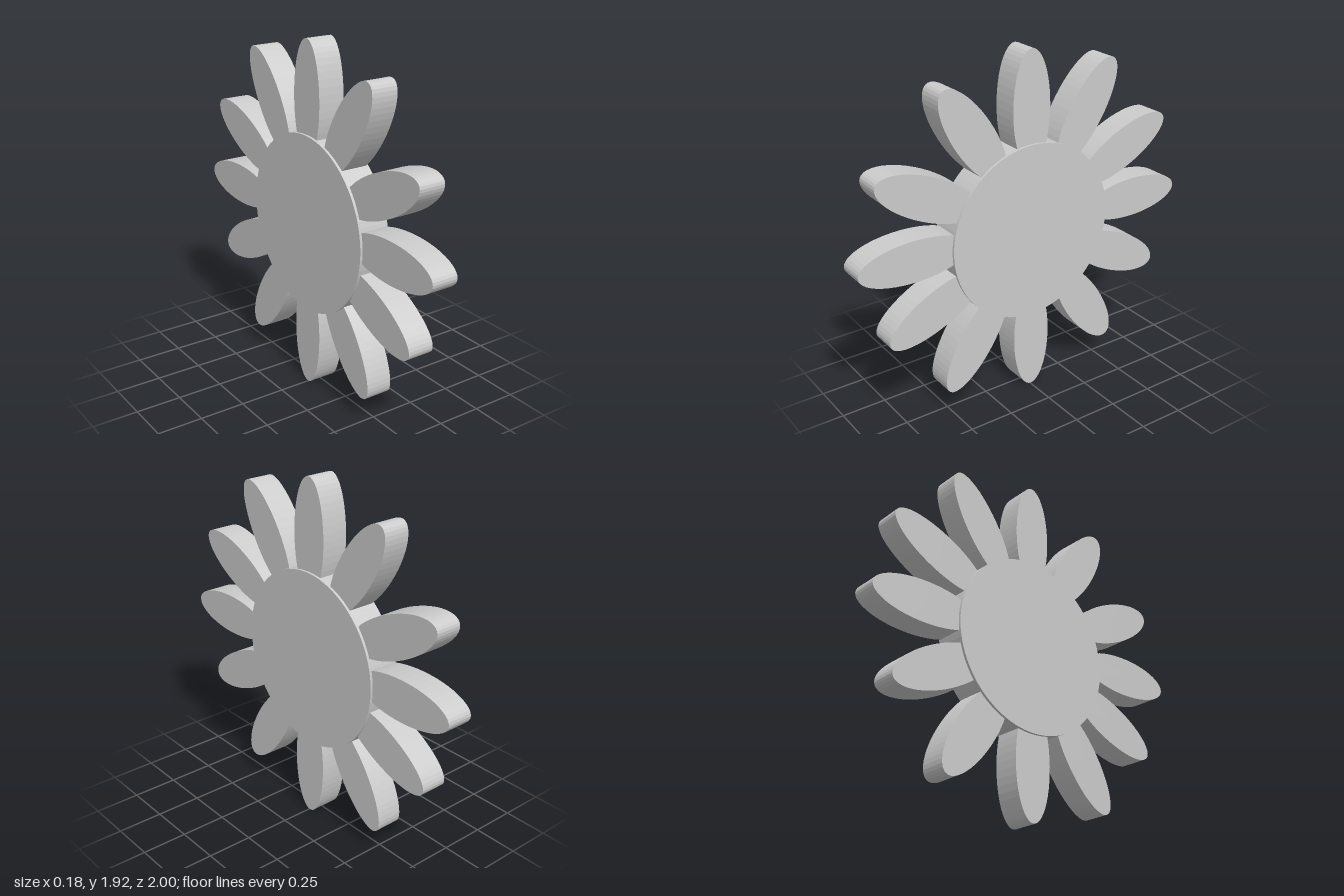
import * as THREE from 'three';

const material = new THREE.MeshStandardMaterial({ color: 0xcccccc, flatShading: true });

// Flat elliptical slab lying in the YZ plane, thick along X
function slab(name, halfY, halfZ, thickness, segments) {
  const geometry = new THREE.CylinderGeometry(1, 1, thickness, segments);
  geometry.rotateZ(Math.PI / 2);
  geometry.scale(1, halfY, halfZ);
  const mesh = new THREE.Mesh(geometry, material);
  mesh.name = name;
  return mesh;
}

// Petal centres and tilt from vertical in degrees: [z, y, tilt]
const petals = [
  [-0.005, 1.615, 0],
  [0.338, 1.539, 33],
  [0.601, 1.28, 65],
  [0.69, 0.973, 90],
  [0.569, 0.668, 115],
  [0.343, 0.403, 146],
  [-0.005, 0.315, 180],
  [-0.367, 0.403, -146],
  [-0.577, 0.668, -115],
  [-0.69, 0.973, -90],
  [-0.614, 1.279, -65],
  [-0.356, 1.539, -33],
];

export function createModel() {
  const flower = new THREE.Group();
  flower.name = 'flower';

  // Round centre, slightly thicker than the petals
  const centre = slab('centreDisc', 0.487, 0.487, 0.176, 96);
  centre.position.set(0, 0.947, -0.007);
  flower.add(centre);

  // Ring of petals
  for (const [z, y, tilt] of petals) {
    const petal = slab('petal', 0.312, 0.113, 0.148, 48);
    petal.position.set(0, y, z);
    petal.rotation.x = THREE.MathUtils.degToRad(tilt);
    flower.add(petal);
  }
  return flower;
}
